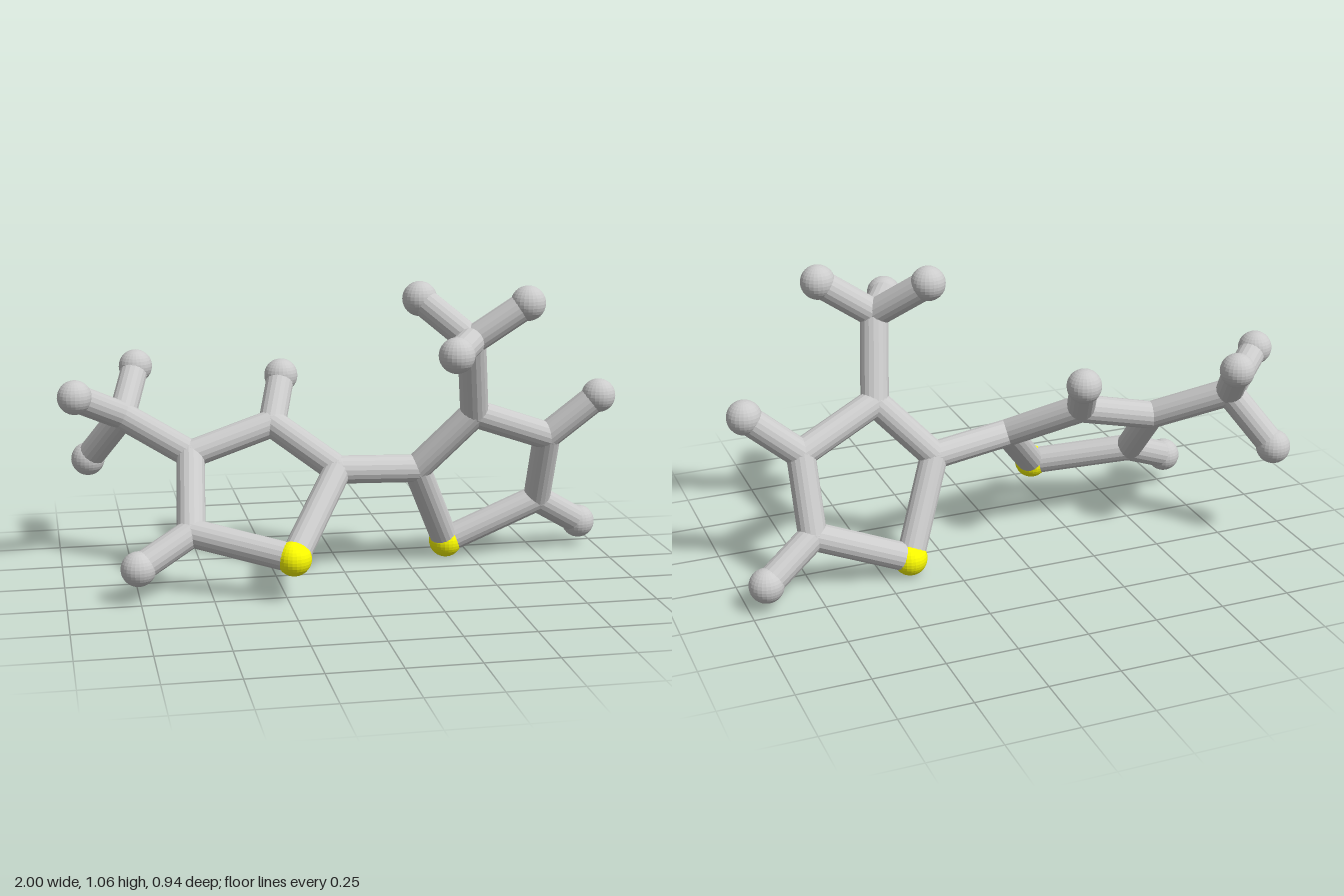
import * as THREE from 'three';

const JOINT_R = 0.05, BALL_R = 0.061, ROD_R = 0.05;

// Atom positions: ring joints, methyl joints, end balls and sulfur balls
const atoms = {
  // left-hand ring (-x)
  sulfurA: [-0.23, 0.15, 0.29],
  a2: [-0.035, 0.395, 0.05],
  a3: [-0.24, 0.53, -0.135],
  a4: [-0.54, 0.44, -0.09],
  a5: [-0.565, 0.215, 0.135],
  methylA: [-0.768, 0.555, -0.25],
  hydrogenA3: [-0.185, 0.677, -0.28],
  hydrogenA5: [-0.755, 0.12, 0.215],
  hydrogenA6: [-0.705, 0.705, -0.41],
  hydrogenA7: [-0.94, 0.655, -0.118],
  hydrogenA8: [-0.89, 0.373, -0.37],
  // right-hand ring (+x)
  sulfurB: [0.405, 0.06, -0.13],
  b2: [0.262, 0.375, 0.005],
  b3: [0.455, 0.583, 0.07],
  b4: [0.75, 0.47, -0.012],
  b5: [0.75, 0.207, -0.12],
  methylB: [0.41, 0.865, 0.187],
  hydrogenB4: [0.93, 0.62, 0.02],
  hydrogenB5: [0.937, 0.09, -0.192],
  hydrogenB6: [0.255, 0.997, 0.057],
  hydrogenB7: [0.6, 0.995, 0.217],
  hydrogenB8: [0.302, 0.857, 0.408],
};

const bonds = [['a2', 'b2']];
for (const [s, l] of [['A', 'a'], ['B', 'b']]) {
  // five-sided ring
  const ring = [`sulfur${s}`, `${l}2`, `${l}3`, `${l}4`, `${l}5`];
  ring.forEach((n, i) => bonds.push([n, ring[(i + 1) % 5]]));
  // methyl tripod and the outer end on joint 5
  for (const k of [6, 7, 8]) bonds.push([`methyl${s}`, `hydrogen${s}${k}`]);
  bonds.push([`${l}5`, `hydrogen${s}5`]);
}
bonds.push(['a4', 'methylA'], ['a3', 'hydrogenA3'], ['b3', 'methylB'], ['b4', 'hydrogenB4']);

export function createModel() {
  const group = new THREE.Group();
  group.name = 'molecule';
  const grey = new THREE.MeshStandardMaterial({ color: 0xcccccc, flatShading: true });
  const yellow = new THREE.MeshStandardMaterial({ color: 0xffff00, flatShading: true });
  const pos = (n) => new THREE.Vector3(...atoms[n]);

  // balls and joints
  const ball = new THREE.SphereGeometry(BALL_R, 24, 16);
  const joint = new THREE.SphereGeometry(JOINT_R, 24, 16);
  for (const n of Object.keys(atoms)) {
    const isSulfur = n.startsWith('sulfur'), isHydrogen = n.startsWith('hydrogen');
    const mesh = new THREE.Mesh(isSulfur || isHydrogen ? ball : joint, isSulfur ? yellow : grey);
    mesh.name = isSulfur || isHydrogen ? n : `carbon_${n}`;
    mesh.position.copy(pos(n));
    group.add(mesh);
  }

  // rods between atom centres
  const up = new THREE.Vector3(0, 1, 0);
  for (const [a, b] of bonds) {
    const p = pos(a), d = pos(b).sub(p), len = d.length();
    const rod = new THREE.Mesh(new THREE.CylinderGeometry(ROD_R, ROD_R, len, 18), grey);
    rod.name = `bond_${a}_${b}`;
    rod.position.copy(p).addScaledVector(d, 0.5);
    rod.quaternion.setFromUnitVectors(up, d.normalize());
    group.add(rod);
  }
  return group;
}
